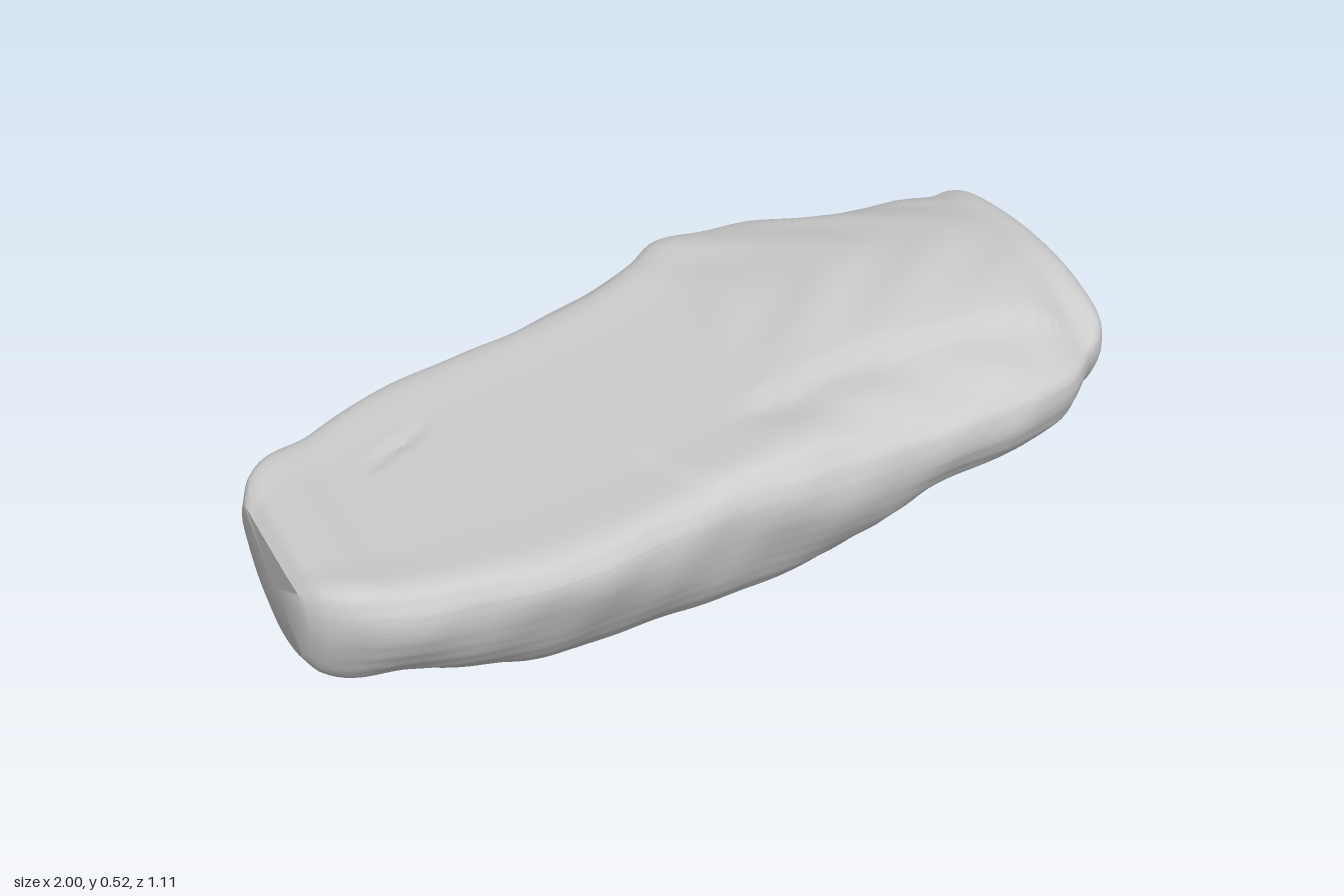
import * as THREE from 'three';
import { toCreasedNormals } from 'three/addons/utils/BufferGeometryUtils.js';

// Stations along the slab: x, back z, front z, top y, bottom y, keel back z, keel front z
const STATIONS = [
  [-1.0, 0.01, 0.41, 0.37, 0.18, 0.12, 0.34],
  [-0.97, -0.05, 0.45, 0.392, 0.145, 0.08, 0.36],
  [-0.8, -0.16, 0.52, 0.392, 0.105, 0.05, 0.36],
  [-0.65, -0.25, 0.54, 0.392, 0.055, 0.0, 0.34],
  [-0.5, -0.3, 0.55, 0.392, 0.008, -0.09, 0.31],
  [-0.2, -0.38, 0.5, 0.397, 0.012, -0.16, 0.33],
  [0.0, -0.44, 0.475, 0.415, 0.018, -0.13, 0.32],
  [0.1, -0.49, 0.48, 0.435, 0.022, -0.07, 0.3],
  [0.18, -0.553, 0.475, 0.455, 0.03, -0.01, 0.29],
  [0.3, -0.545, 0.47, 0.48, 0.105, -0.02, 0.32],
  [0.42, -0.535, 0.455, 0.505, 0.178, -0.2, 0.35],
  [0.55, -0.48, 0.44, 0.518, 0.205, -0.28, 0.35],
  [0.7, -0.455, 0.42, 0.518, 0.22, -0.3, 0.33],
  [0.8, -0.46, 0.385, 0.512, 0.235, -0.3, 0.3],
  [0.88, -0.445, 0.31, 0.5, 0.245, -0.3, 0.24],
  [0.97, -0.4, 0.22, 0.475, 0.265, -0.28, 0.15],
  [1.0, -0.29, 0.12, 0.43, 0.3, -0.2, 0.06],
];
const ROWS = 150, AROUND = 128;
const { lerp, smoothstep, clamp } = THREE.MathUtils;

const profile = new THREE.CubicInterpolant(
  STATIONS.map((s) => s[0]), STATIONS.flatMap((s) => s.slice(1)), 6, new Float32Array(6));

// Closed cross-section: back edge, over the top, front edge, under the keel
function section(x) {
  const [zb, zf, yt, yb, kb, kf] = profile.evaluate(x);
  const w = zf - zb;
  const crown = 0.07 * smoothstep(x, 0, 0.5) * (1 - 0.5 * smoothstep(x, 0.85, 1));
  const edge = lerp(0.31, 0.36, smoothstep(x, 0.2, 0.9));
  const backRim = yt - crown, frontRim = yt - 1.3 * crown;
  const points = [
    [zb, edge],
    [zb + 0.015 * w, lerp(edge, backRim, 0.65)],
    [zb + 0.06 * w, backRim],
    [zb + 0.25 * w, yt - crown * 0.3],
    [zb + 0.48 * w, yt],
    [zb + 0.75 * w, yt - crown * 0.3],
    [zf - 0.05 * w, frontRim],
    [zf - 0.01 * w, lerp(edge, frontRim, 0.65)],
    [zf, edge],
    [lerp(zf, kf, 0.2), lerp(edge, yb, 0.42)],
    [lerp(zf, kf, 0.55), lerp(edge, yb, 0.77)],
    [kf, yb + 0.015],
    [lerp(kf, kb, 0.5), yb],
    [kb, yb + 0.03],
    [lerp(zb, kb, 0.6), lerp(edge, yb, 0.58)],
    [lerp(zb, kb, 0.25), lerp(edge, yb, 0.3)],
  ].map(([z, y]) => new THREE.Vector3(x, y, z));
  return new THREE.CatmullRomCurve3(points, true);
}

// Gentle weathering, split layers and cracks; t runs around the section
function weather(p, t) {
  const { x, y, z } = p;
  const fade = 1 - smoothstep(Math.abs(x), 0.88, 0.98);
  const top = smoothstep(t, 0.1, 0.16) * (1 - smoothstep(t, 0.36, 0.42));

  // thin upper layer beginning at a curved lip
  const lip = -0.22 + 0.8 * Math.max(0, z - 0.2) ** 1.5;
  let lift = 0.008 * (smoothstep(x, lip, lip + 0.03) - smoothstep(x, 0, 0.4));
  // long split near the front of the raised end
  const split = 0.2 + 0.012 * Math.sin(x * 14) + 0.05 * smoothstep(x, 0.55, 0.9);
  const reach = smoothstep(x, 0, 0.15) * (1 - smoothstep(x, 0.78, 0.92));
  lift -= 0.015 * reach * smoothstep(z, split, split + 0.025) * (1 - smoothstep(z, split + 0.03, split + 0.16));
  // short crack on the flat end
  const along = smoothstep(x, -0.75, -0.7) * (1 - smoothstep(x, -0.6, -0.55));
  lift -= 0.01 * along * (1 - smoothstep(Math.abs(z + 0.36 + 0.55 * x), 0, 0.025));
  lift += 0.003 * fade * smoothstep(x, 0, 0.3) * Math.sin(x * 23 + 3 * Math.sin(z * 9));

  // rippled sides and a faintly terraced underside
  const ripple = Math.sin(x * 13 + y * 21) + 0.6 * Math.sin(x * 31 - y * 17);
  const terrace = 0.0015 * fade * Math.sin(y * 150) * smoothstep(y, 0.03, 0.06);
  p.z += (1 - top) * 0.003 * fade * ripple * clamp(z * 4, -1, 1);
  p.y = Math.max(0, y + lerp(terrace, lift, top));
  return p;
}

function slabGeometry() {
  const positions = [], indices = [];
  for (let i = 0; i <= ROWS; i++) {
    // rows bunch up towards both ends
    const u = (i / ROWS) * 2 - 1;
    const x = 0.5 * u + 0.5 * Math.sin((u * Math.PI) / 2);
    const curve = section(x);
    for (let j = 0; j < AROUND; j++) {
      const t = j / AROUND;
      const p = weather(curve.getPoint(t), t);
      positions.push(p.x, p.y, p.z);
    }
  }
  for (let i = 0; i < ROWS; i++) {
    for (let j = 0; j < AROUND; j++) {
      const k = (j + 1) % AROUND;
      const a = i * AROUND + j, b = i * AROUND + k;
      indices.push(a, b, a + AROUND, b, b + AROUND, a + AROUND);
    }
  }
  // Broken flat ends
  for (const [row, x] of [[0, -1], [ROWS, 1]]) {
    const [zb, zf, yt, yb] = profile.evaluate(x);
    const centre = positions.length / 3;
    positions.push(x, (yt + yb) / 2, (zb + zf) / 2);
    for (let j = 0; j < AROUND; j++) {
      const a = row * AROUND + j, b = row * AROUND + ((j + 1) % AROUND);
      indices.push(centre, ...(x > 0 ? [a, b] : [b, a]));
    }
  }
  const geometry = new THREE.BufferGeometry();
  geometry.setAttribute('position', new THREE.Float32BufferAttribute(positions, 3));
  geometry.setIndex(indices);
  return toCreasedNormals(geometry, 0.8);
}

export function createModel() {
  const group = new THREE.Group();
  group.name = 'rock';
  const slab = new THREE.Mesh(slabGeometry(), new THREE.MeshStandardMaterial({ color: 0xcccccc }));
  slab.name = 'stoneSlab';
  group.add(slab);
  return group;
}
